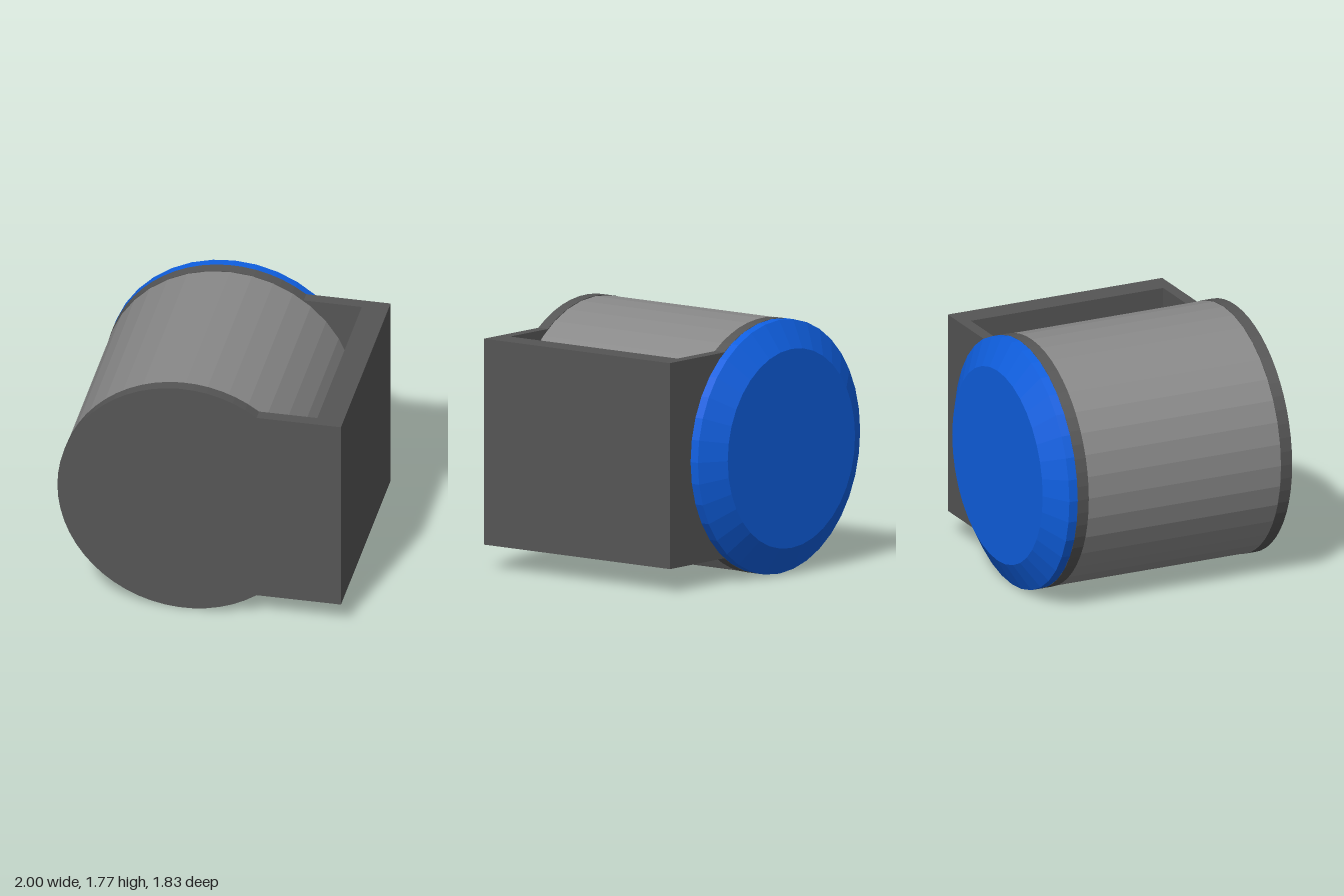
import * as THREE from 'three';

const CX = -0.113, CY = 0.887, R = 0.887; // drum axis and radius
const FRONT = 0.915, BACK = -0.74, PLATE = 0.085;
const ARM_HALF = 0.72; // half height of the side arm

const material = (color) => new THREE.MeshStandardMaterial({ color, flatShading: true });

export function createModel() {
  const model = new THREE.Group();
  const dark = material(0x555555);
  const grey = material(0x888888);
  const blue = material(0x0f5fe0);

  const add = (name, geometry, mat, x, y, z) => {
    const mesh = new THREE.Mesh(geometry, mat);
    mesh.name = name;
    mesh.position.set(x, y, z);
    model.add(mesh);
    return mesh;
  };

  // End plates: a disc that runs into a rectangular arm on one side
  const a = Math.asin(ARM_HALF / R);
  const outline = new THREE.Shape();
  outline.moveTo(1 - CX, -ARM_HALF);
  outline.lineTo(1 - CX, ARM_HALF);
  outline.absarc(0, 0, R, a, 2 * Math.PI - a, false);
  outline.closePath();
  const plate = new THREE.ExtrudeGeometry(outline, { depth: PLATE, bevelEnabled: false, curveSegments: 20 });
  add('frontPlate', plate, dark, CX, CY, FRONT - PLATE);
  add('backPlate', plate, dark, CX, CY, BACK);

  // Side wall joining the two arms, with open slots above and below
  const wallLength = FRONT - BACK - 2 * PLATE;
  const midZ = (FRONT + BACK) / 2;
  add('sideWall', new THREE.BoxGeometry(0.185, 2 * ARM_HALF, wallLength), dark, 0.9075, CY, midZ);

  // Faceted drum between the plates
  const drum = add('drum', new THREE.CylinderGeometry(0.884, 0.884, wallLength, 36), grey, CX, CY, midZ);
  drum.rotation.x = Math.PI / 2;

  // Back cap with a short rim and a wide chamfer
  const profile = [[0, 0], [R, 0], [R, 0.065], [0.696, 0.175], [0, 0.175]]
    .map(([r, h]) => new THREE.Vector2(r, h));
  const cap = add('backCap', new THREE.LatheGeometry(profile, 36), blue, CX, CY, BACK);
  cap.rotation.x = -Math.PI / 2;

  return model;
}
